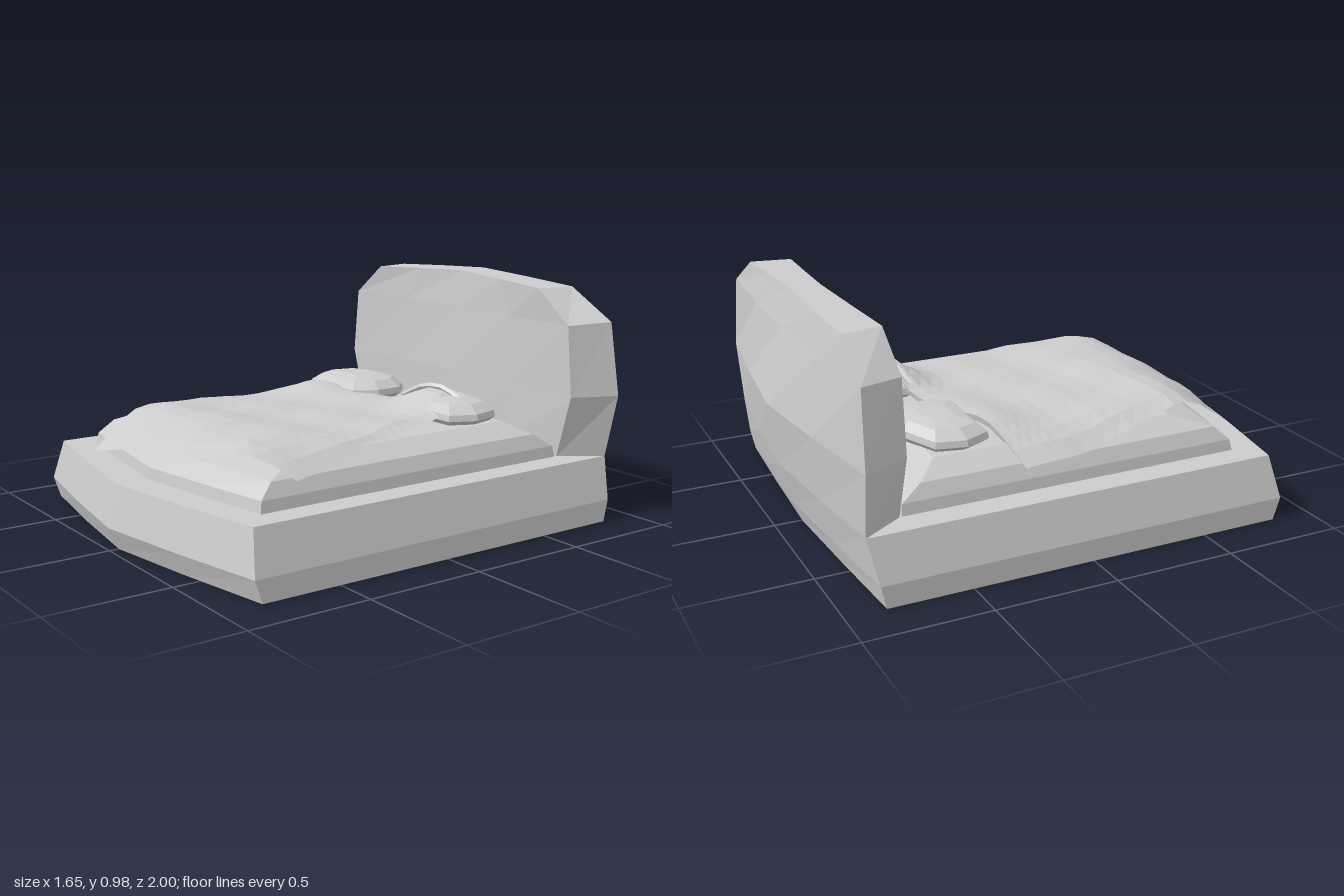
import * as THREE from 'three';

const COLS = [-1, -0.5, 0, 0.5, 1];
const material = () => new THREE.MeshStandardMaterial({ color: 0xcccccc, flatShading: true, side: THREE.DoubleSide });

function makeMesh(name, points, index) {
  const g = new THREE.BufferGeometry();
  g.setAttribute('position', new THREE.Float32BufferAttribute(points.flat(), 3));
  g.setIndex(index);
  const flat = g.toNonIndexed();
  flat.computeVertexNormals();
  const mesh = new THREE.Mesh(flat, material());
  mesh.name = name;
  return mesh;
}

// Stack closed loops (counterclockwise from above) and cap both ends with strips
function stack(name, loops) {
  const m = loops[0].length, index = [];
  const quad = (a, b, c, d) => index.push(a, b, c, a, c, d);
  for (let r = 0; r < loops.length - 1; r++) {
    for (let i = 0; i < m; i++) {
      const j = (i + 1) % m;
      quad(r * m + i, r * m + j, (r + 1) * m + j, (r + 1) * m + i);
    }
  }
  const top = (loops.length - 1) * m;
  for (let k = 0; k < m / 2 - 1; k++) {
    quad(top + k, top + k + 1, top + m - 2 - k, top + m - 1 - k);
    quad(m - 1 - k, m - 2 - k, k + 1, k);
  }
  return makeMesh(name, loops.flat(), index);
}

// One edge of a loop, bowed between its corners and its centre
function edge({ y, w, corner, mid, rise = 0 }) {
  return COLS.map((c) => {
    const t = c === 0 ? 1 : Math.abs(c) === 0.5 ? 0.55 : 0;
    return [c * w, y + rise * t, corner + (mid - corner) * t];
  });
}
const loop = (front, back) => [...edge(front), ...edge(back).reverse()];

// Rows: y, half width, front corner z, front centre z, back corner z, back centre z
const bowedStack = (name, rows) => stack(name, rows.map(([y, w, fc, fm, bc, bm]) =>
  loop({ y, w, corner: fc, mid: fm }, { y, w, corner: bc, mid: bm })));

function createHeadboard() {
  return stack('headboard', [
    loop({ y: 0.26, w: 0.66, corner: -0.72, mid: -0.72 }, { y: 0.26, w: 0.77, corner: -0.89, mid: -0.965 }),
    loop({ y: 0.52, w: 0.735, corner: -0.715, mid: -0.73 }, { y: 0.52, w: 0.82, corner: -0.9, mid: -1 }),
    loop({ y: 0.81, w: 0.705, corner: -0.715, mid: -0.745 }, { y: 0.82, w: 0.775, corner: -0.89, mid: -0.93 }),
    loop({ y: 0.945, w: 0.53, corner: -0.715, mid: -0.76, rise: 0.025 },
      { y: 0.945, w: 0.56, corner: -0.88, mid: -0.89, rise: 0.03 }),
  ]);
}

function createPillow(name, mirror) {
  const outline = [[-0.54, -0.39], [-0.49, -0.28], [-0.15, -0.27], [-0.09, -0.37],
    [-0.1, -0.5], [-0.17, -0.57], [-0.33, -0.58], [-0.51, -0.51]];
  const cx = -0.31, cz = -0.43;
  const loops = [[0.405, 0.85], [0.43, 1], [0.455, 0.97], [0.487, 0.75], [0.5, 0.4]].map(([y, s]) => {
    const pts = outline.map(([x, z]) => [(cx + (x - cx) * s) * (mirror ? -1 : 1), y, cz + (z - cz) * s]);
    return mirror ? pts.reverse() : pts;
  });
  return stack(name, loops);
}

// Height of the draped blanket, with wrinkles and a bump over one pillow
function drape(x, z) {
  const side = Math.max(0, Math.abs(x) - 0.4), front = Math.max(0, z - 0.57);
  let y = 0.435 + 0.02 * Math.exp(-(((z - 0.52) / 0.2) ** 2));
  y -= (x > 0 ? 1.7 : 1.5) * side * side + 1.25 * front * front;
  y -= 0.5 * front * Math.max(0, -x - 0.12);
  y += 0.085 * Math.exp(-(((x - 0.26) / 0.17) ** 2) - ((z + 0.4) / 0.13) ** 2);
  y += 0.035 * Math.exp(-(((x + 0.35) / 0.2) ** 2) - ((z + 0.25) / 0.13) ** 2);
  return y + 0.005 * Math.sin(17 * z + 6 * x) + 0.004 * Math.sin(19 * x - 9 * z);
}

function createBlanket() {
  const curve = (pts) => new THREE.CatmullRomCurve3(pts.map(([x, z]) => new THREE.Vector3(x, 0, z)));
  const left = curve([[-0.645, -0.2], [-0.635, 0.02], [-0.53, 0.45], [-0.42, 0.85]]);
  const right = curve([[0.39, -0.43], [0.46, -0.15], [0.57, 0.15], [0.65, 0.57]]);
  const back = curve([[-0.645, -0.2], [-0.3, -0.28], [0.02, -0.37], [0.39, -0.43]]);
  const front = curve([[-0.42, 0.85], [-0.05, 0.83], [0.3, 0.76], [0.65, 0.57]]);
  const corners = [left.getPoint(0), right.getPoint(0), left.getPoint(1), right.getPoint(1)];
  const nu = 14, nv = 16, points = [], index = [];
  // Blend the four border curves into a patch
  const patch = (u, v) => {
    const p = left.getPoint(v).multiplyScalar(1 - u).addScaledVector(right.getPoint(v), u)
      .addScaledVector(back.getPoint(u), 1 - v).addScaledVector(front.getPoint(u), v);
    [(1 - u) * (1 - v), u * (1 - v), (1 - u) * v, u * v].forEach((k, i) => p.addScaledVector(corners[i], -k));
    return [p.x, drape(p.x, p.z), p.z];
  };
  // The first two rows tuck the hem under along the pillow end
  for (let r = -2; r <= nv; r++) {
    for (let i = 0; i <= nu; i++) {
      const [x, y, z] = patch(i / nu, Math.max(0, r) / nv);
      if (r === -2) points.push([x, y - 0.04, z + 0.07]);
      else if (r === -1) points.push([x, y - 0.025, z + 0.005]);
      else points.push([x, y, z]);
    }
  }
  for (let r = 0; r < nv + 2; r++) {
    for (let i = 0; i < nu; i++) {
      const a = r * (nu + 1) + i, b = a + nu + 1;
      index.push(a, b, b + 1, a, b + 1, a + 1);
    }
  }
  return makeMesh('blanket', points, index);
}

// Folded flap of the blanket beside the pillow bump
function createFold() {
  const path = new THREE.CatmullRomCurve3([[0.1, -0.36], [0.2, -0.385], [0.29, -0.41], [0.38, -0.43]]
    .map(([x, z]) => new THREE.Vector3(x, drape(x, z) + 0.003, z)));
  const mesh = new THREE.Mesh(new THREE.TubeGeometry(path, 6, 0.014, 5), material());
  mesh.name = 'blanketFold';
  return mesh;
}

export function createModel() {
  const bed = new THREE.Group();
  bed.name = 'bed';
  bed.add(
    bowedStack('bedFrame', [
      [0, 0.825, 0.83, 0.96, -0.84, -0.885],
      [0.09, 0.825, 0.86, 1, -0.86, -0.92],
      [0.26, 0.77, 0.83, 0.96, -0.89, -0.965],
    ]),
    createHeadboard(),
    bowedStack('mattress', [
      [0.255, 0.66, 0.73, 0.83, -0.71, -0.71],
      [0.305, 0.65, 0.72, 0.82, -0.705, -0.705],
      [0.36, 0.62, 0.66, 0.73, -0.62, -0.62],
      [0.41, 0.53, 0.5, 0.55, -0.53, -0.53],
    ]),
    createPillow('rightPillow', false),
    createPillow('leftPillow', true),
    createBlanket(),
    createFold(),
  );
  return bed;
}
